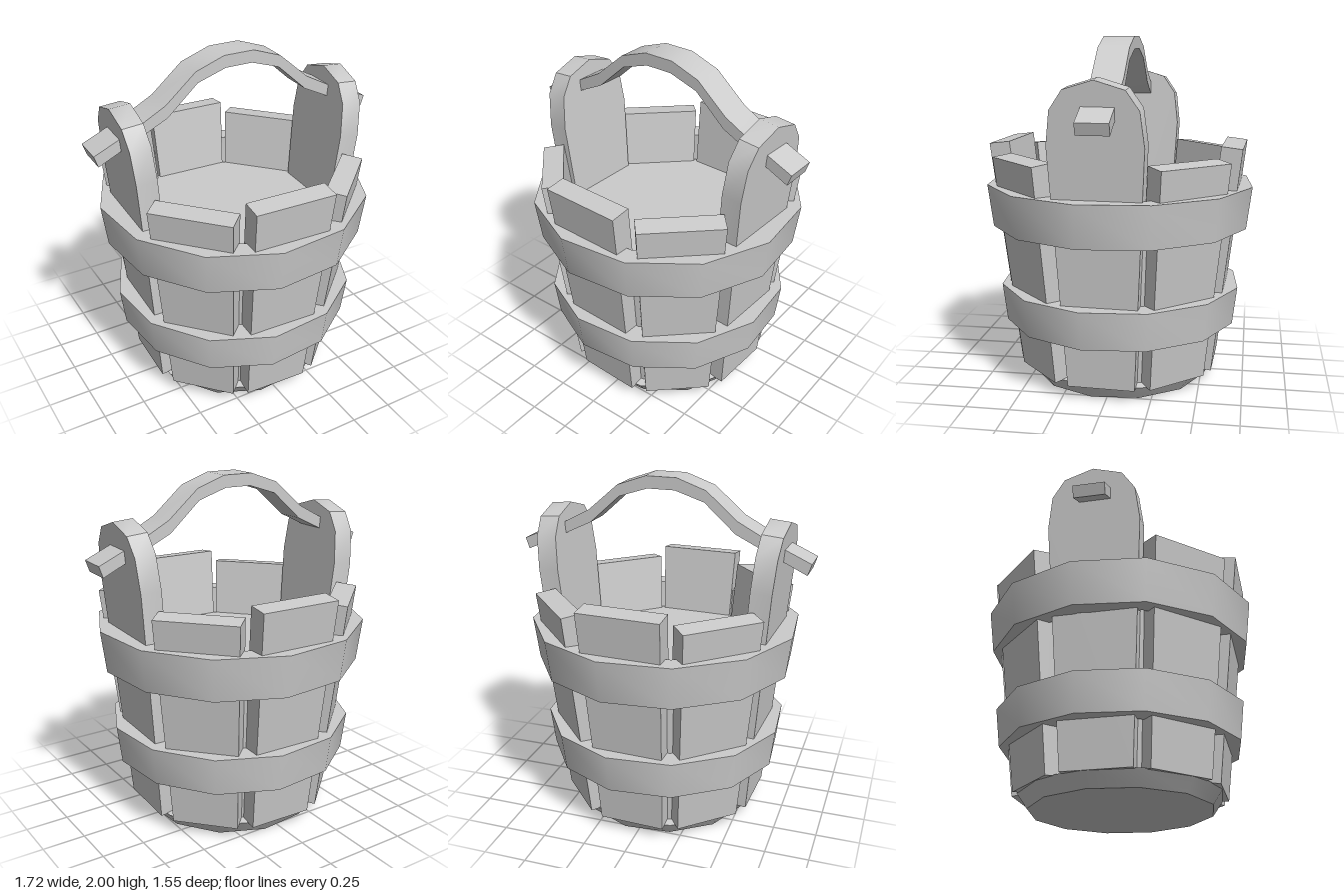
import * as THREE from 'three';
import { toCreasedNormals } from 'three/addons/utils/BufferGeometryUtils.js';

const material = new THREE.MeshStandardMaterial({ color: 0xcccccc });
const CREASE = 0.6;
const TWIST = -0.04;       // staves are turned slightly off axis
const HOOP_TWIST = -0.168;

function addMesh(parent, name, geometry) {
  const mesh = new THREE.Mesh(toCreasedNormals(geometry, CREASE), material);
  mesh.name = name;
  parent.add(mesh);
  return mesh;
}

// Twelve-sided turned part from [radius, height] pairs
function turned(parent, name, pairs) {
  const points = pairs.map(([r, y]) => new THREE.Vector2(r, y));
  addMesh(parent, name, new THREE.LatheGeometry(points, 12)).rotation.y = HOOP_TWIST;
}

// Flat outline extruded evenly to both sides of z = 0
function slab(points, depth) {
  const shape = new THREE.Shape(points.map(([x, y]) => new THREE.Vector2(x, y)));
  return new THREE.ExtrudeGeometry(shape, { depth, bevelEnabled: false }).translate(0, 0, -depth / 2);
}

// Stave outline, wider towards the top
function staveOutline(height) {
  const top = 0.19 + 0.036 * height;
  return [[-0.19, 0], [0.19, 0], [top, height], [-top, height]];
}

// Tall stave with a rounded head that carries the handle
function earOutline() {
  const right = [[0.19, 0], [0.26, 1.37], [0.237, 1.56], [0.165, 1.665]];
  const left = right.map(([x, y]) => [-x, y]).reverse();
  return [...right, [0.0, 1.715], ...left];
}

export function createModel() {
  const model = new THREE.Group();
  model.name = 'bucket';

  // Base with bevelled foot, and the filled inside
  turned(model, 'base', [[0, 0], [0.52, 0], [0.58, 0.085], [0.53, 0.095], [0.63, 1.0], [0, 1.0]]);

  // Eight leaning staves: ears at the sides, lower ones on the diagonals
  for (let i = 0; i < 8; i++) {
    const isEar = i % 4 === 2;
    const height = i % 2 ? 1.26 : 1.325;
    const geometry = slab(isEar ? earOutline() : staveOutline(height), 0.12);
    geometry.rotateX(isEar ? 0.085 : 0.117);
    geometry.translate(0, 0.083, 0.515);
    addMesh(model, isEar ? 'ear' : 'stave', geometry).rotation.y = TWIST + (i * Math.PI) / 4;
  }

  // Two hoops, each a closed ring
  turned(model, 'upperHoop', [[0.66, 0.915], [0.757, 0.915], [0.788, 1.16], [0.67, 1.16], [0.66, 0.915]]);
  turned(model, 'lowerHoop', [[0.57, 0.34], [0.69, 0.34], [0.717, 0.56], [0.585, 0.56], [0.57, 0.34]]);

  // Arched handle running through both ears
  const upper = [[0.09, 2.0], [0.26, 1.94], [0.44, 1.785], [0.6, 1.7], [0.857, 1.585]];
  const lower = [[0.835, 1.52], [0.57, 1.645], [0.43, 1.713], [0.25, 1.875], [0.08, 1.93]];
  const half = [...upper, ...lower];
  const outline = [...half, ...half.map(([x, y]) => [-x, y]).reverse()];
  const handle = addMesh(model, 'handle', slab(outline, 0.178));
  handle.rotation.y = -0.02;
  handle.position.z = -0.005;

  return model;
}
